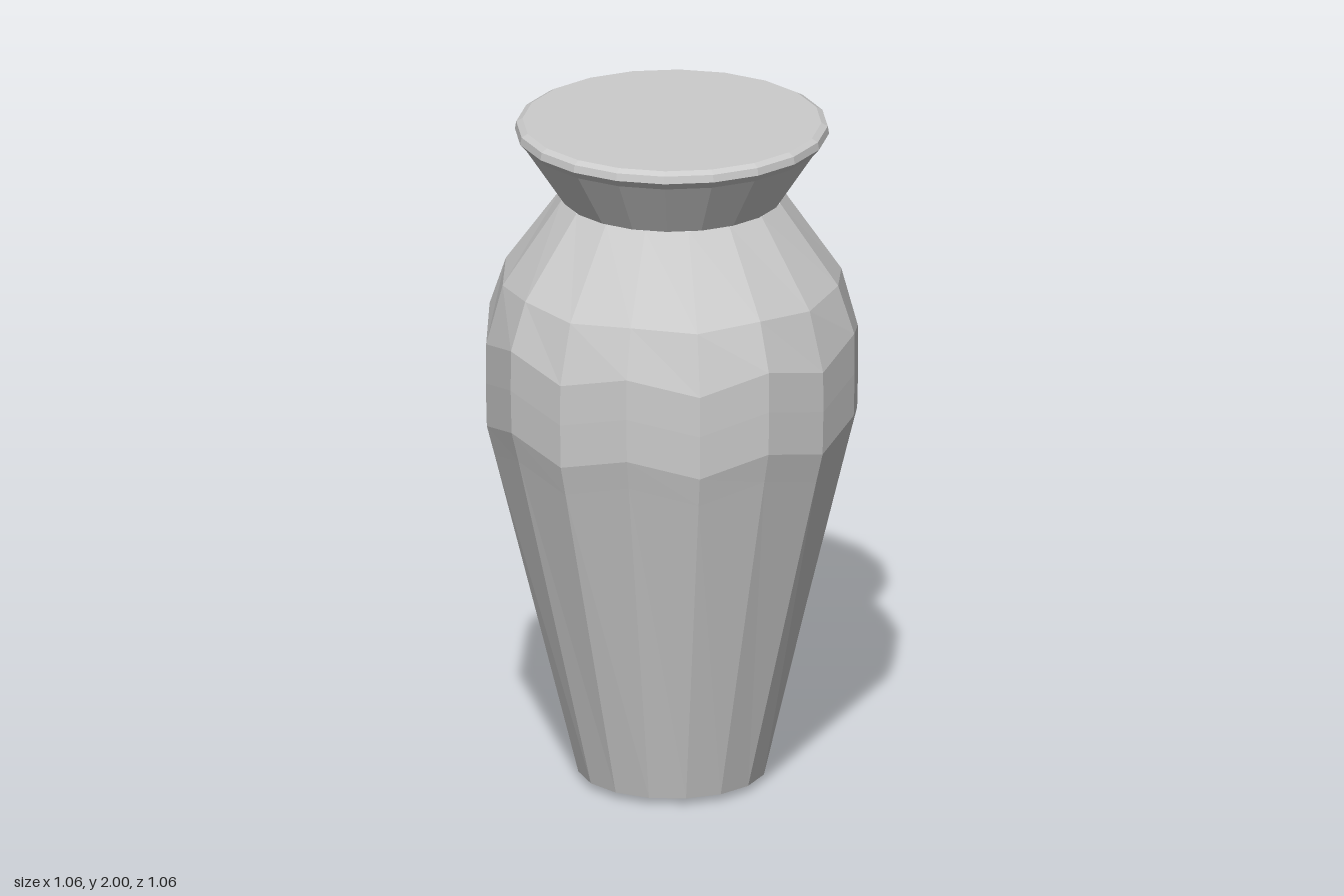
import * as THREE from 'three';

const material = new THREE.MeshStandardMaterial({ color: 0xcccccc, flatShading: true });

// Faceted turned part; points run from bottom to top as [radius, height]
function turned(name, profile, sides, phase = 0) {
  const points = profile.map(([r, y]) => new THREE.Vector2(r, y));
  const mesh = new THREE.Mesh(new THREE.LatheGeometry(points, sides, phase), material);
  mesh.name = name;
  return mesh;
}

export function createModel() {
  const group = new THREE.Group();
  group.name = 'vase';

  // Tapered body with a chamfered foot and round shoulders
  const sides = 16;
  const phase = Math.PI / sides;
  const body = turned('body', [
    [0, 0.005], [0.215, 0.005], [0.272, 0.025], [0.515, 1.03], [0.538, 1.12],
    [0.541, 1.25], [0.54, 1.37], [0.492, 1.53], [0.32, 1.775],
  ], sides, phase);

  // Uneven, hand-cut facets around the belly
  const pos = body.geometry.attributes.position;
  for (let i = 0; i < pos.count; i++) {
    const y = pos.getY(i);
    if (y < 0.9 || y > 1.6) continue;
    const side = Math.round((Math.atan2(pos.getX(i), pos.getZ(i)) - phase) / (2 * phase));
    const step = ((side % sides) + sides) % sides;
    const fade = y > 1.45 ? 0.3 : 1;
    pos.setY(i, y + fade * (step % 2 ? 0.025 : -0.025));
  }
  group.add(body);

  // Flared collar with a rolled lip and a flat closed top
  group.add(turned('collar', [
    [0.32, 1.775], [0.432, 1.945], [0.452, 1.968], [0.448, 1.99], [0.43, 2], [0, 2],
  ], 20));

  return group;
}
